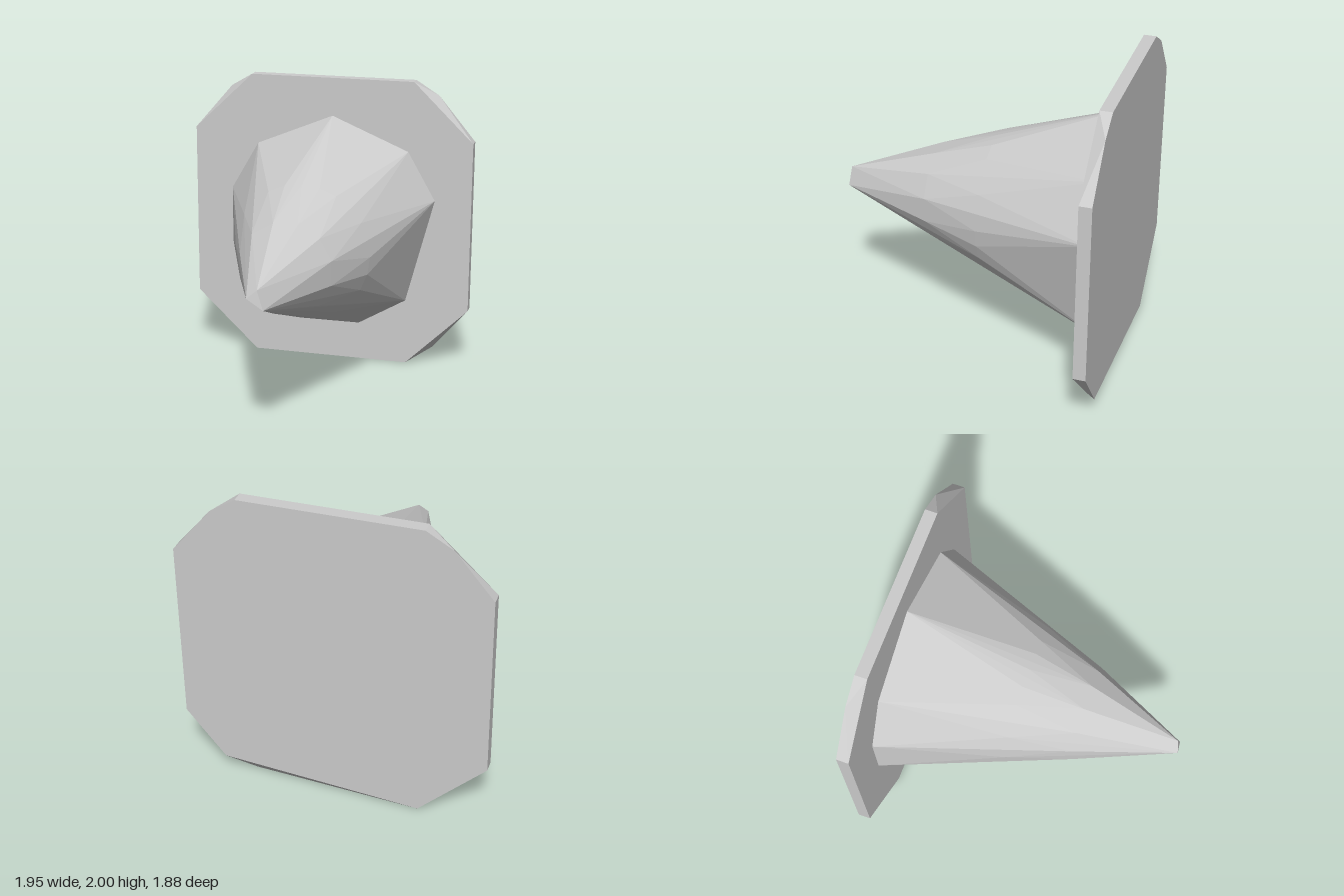
import * as THREE from 'three';
import { ConvexGeometry } from 'three/addons/geometries/ConvexGeometry.js';

const at = (points, z) => points.map(([x, y]) => new THREE.Vector3(x, y, z));

// Ring of points around the spike's axis
function ring(count, radius, z, offset = 0) {
  return Array.from({ length: count }, (_, i) => {
    const a = offset + (i / count) * Math.PI * 2;
    return new THREE.Vector3(Math.cos(a) * radius, 1 + Math.sin(a) * radius, z);
  });
}

export function createModel() {
  const group = new THREE.Group();
  const material = new THREE.MeshStandardMaterial({ color: 0xcccccc, flatShading: true });
  const add = (name, points) => {
    const mesh = new THREE.Mesh(new ConvexGeometry(points), material);
    mesh.name = name;
    group.add(mesh);
  };

  // Wall plate: clipped corners, three of them bulging out at the back
  const plateFront = [
    [0.56, 2], [-0.57, 2], [-0.98, 1.61], [-0.98, 0.41],
    [-0.55, 0], [0.54, 0], [0.97, 0.42], [0.97, 1.6],
  ];
  const plateBack = [
    [0.56, 2], [-0.57, 2], [-0.74, 1.9], [-0.98, 1.61], [-0.98, 0.41],
    [-0.55, 0], [0.72, 0.11], [0.97, 0.42], [0.97, 1.6], [0.72, 1.9],
  ];
  add('backPlate', [...at(plateFront, -0.86), ...at(plateBack, -0.94)]);

  // Faceted spike: uneven base, two rings and a small blunt tip
  const spikeBase = [
    [0, 1.74], [-0.53, 1.52], [-0.72, 1.19], [-0.72, 0.8], [-0.53, 0.46],
    [-0.2, 0.265], [0.2, 0.265], [0.53, 0.46], [0.72, 1.19], [0.53, 1.52],
  ];
  add('spike', [
    ...at(spikeBase, -0.86),
    ...ring(24, 0.45, -0.08),
    ...ring(12, 0.308, 0.31, Math.PI / 12),
    new THREE.Vector3(0, 1.06, 0.92),
    new THREE.Vector3(-0.06, 1.01, 0.94),
    new THREE.Vector3(0.04, 0.94, 0.93),
  ]);

  return group;
}
